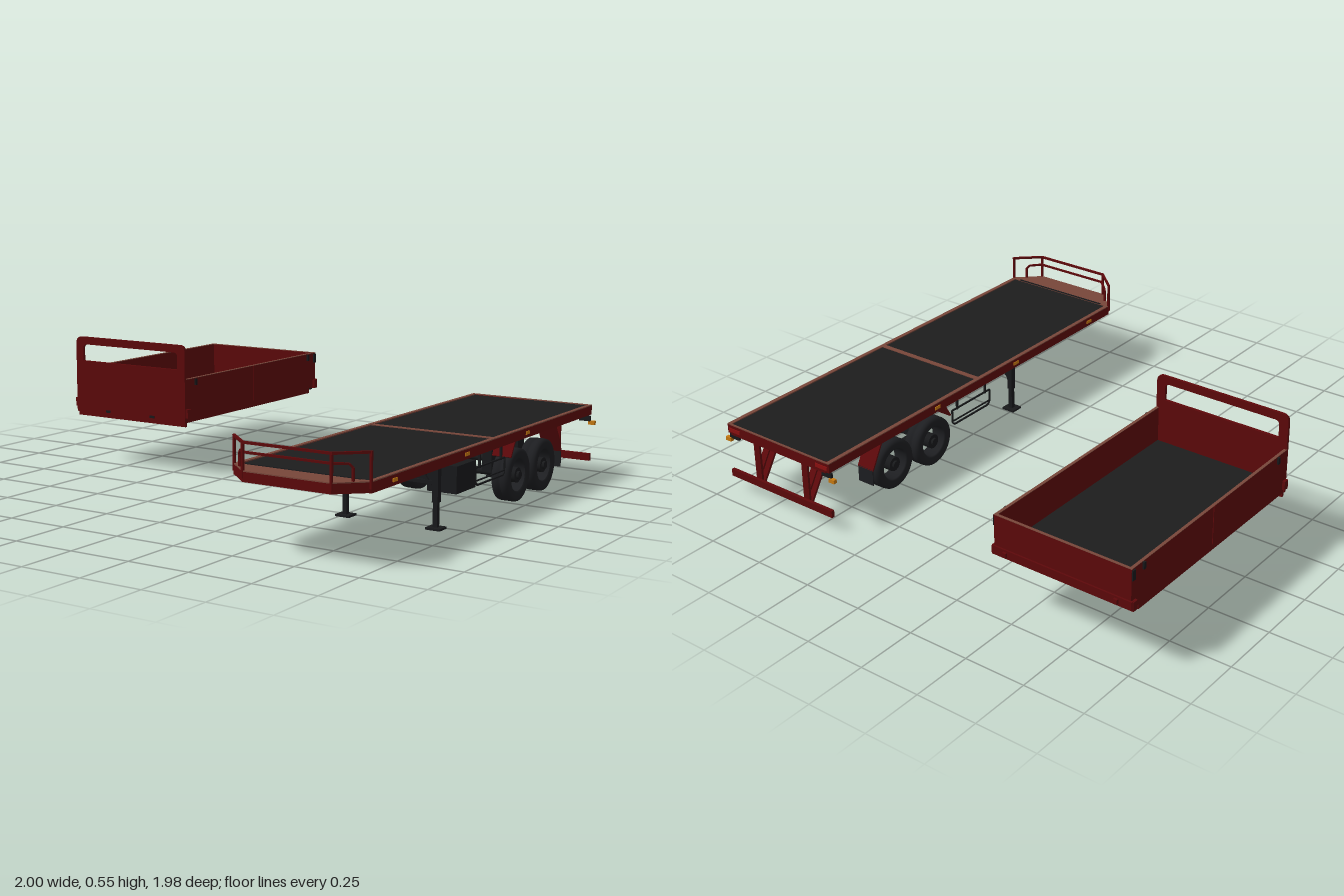
import * as THREE from 'three';

const mat = (name, color) => {
  const m = new THREE.MeshStandardMaterial({ color });
  m.name = name;
  return m;
};

export function createModel() {
  const red = mat('dark red paint', 0x5d080a);
  const brown = mat('brown edging', 0x78463a);
  const floor = mat('deck black', 0x1d1d1d);
  const steel = mat('chassis grey', 0x18191b);
  const rubber = mat('tyre rubber', 0x1d1e21);
  const amber = mat('amber lamp', 0xc87a12);
  const lampRed = mat('red lamp', 0x8c1010);

  const root = new THREE.Group();
  const trailer = new THREE.Group();
  trailer.name = 'flatbedTrailer';
  trailer.position.x = 0.705;
  const body = new THREE.Group();
  body.name = 'dropsideBody';
  body.position.x = -0.698;
  root.add(trailer, body);

  const add = (g, name, geo, m) => {
    const mesh = new THREE.Mesh(geo, m);
    mesh.name = name;
    g.add(mesh);
    return mesh;
  };
  // Box given by its limits on each axis
  const box = (g, name, m, x0, x1, y0, y1, z0, z1) => {
    const mesh = add(g, name, new THREE.BoxGeometry(x1 - x0, y1 - y0, z1 - z0), m);
    mesh.position.set((x0 + x1) / 2, (y0 + y1) / 2, (z0 + z1) / 2);
  };
  // Box on both sides, given by the +x limits
  const pair = (g, name, m, x0, x1, ...r) => {
    box(g, name + 'Left', m, x0, x1, ...r);
    box(g, name + 'Right', m, -x1, -x0, ...r);
  };
  // Straight trailer bar of w by h section between two points (aimed before it joins its group)
  const bar = (name, m, a, b, w, h = w) => {
    const A = new THREE.Vector3(...a), B = new THREE.Vector3(...b);
    const mesh = new THREE.Mesh(new THREE.BoxGeometry(w, h, A.distanceTo(B)), m);
    mesh.name = name;
    mesh.position.copy(A).add(B).multiplyScalar(0.5);
    mesh.lookAt(B);
    trailer.add(mesh);
  };
  // Chain of bars through a list of points
  const chain = (name, m, pts, w) => {
    for (let i = 1; i < pts.length; i++) bar(name, m, pts[i - 1], pts[i], w);
  };
  // Horizontal slab from an x,z outline
  const slab = (g, name, m, pts, y, h) => {
    const s = new THREE.Shape(pts.map(([x, z]) => new THREE.Vector2(x, -z)));
    const geo = new THREE.ExtrudeGeometry(s, { depth: h, bevelEnabled: false });
    geo.rotateX(-Math.PI / 2);
    add(g, name, geo, m).position.y = y;
  };

  // ---- Trailer deck ----
  box(trailer, 'deckFloor', floor, -0.258, 0.258, 0.27, 0.292, -0.918, 0.885);
  pair(trailer, 'sideRail', red, 0.256, 0.274, 0.255, 0.292, -0.925, 0.89);
  pair(trailer, 'sideEdging', brown, 0.257, 0.274, 0.292, 0.296, -0.925, 0.89);
  box(trailer, 'rearRail', red, -0.256, 0.256, 0.25, 0.292, -0.926, -0.908);
  box(trailer, 'rearEdging', brown, -0.257, 0.257, 0.292, 0.296, -0.926, -0.918);
  box(trailer, 'crossStrip', brown, -0.257, 0.257, 0.291, 0.295, -0.042, -0.02);
  const nose = [[-0.274, 0.88], [-0.274, 0.89], [-0.175, 0.982], [0.175, 0.982], [0.274, 0.89], [0.274, 0.88]];
  slab(trailer, 'noseFrame', red, nose, 0.257, 0.035);
  slab(trailer, 'noseTop', brown, nose, 0.292, 0.004);
  box(trailer, 'noseJoint', steel, -0.23, 0.23, 0.295, 0.298, 0.879, 0.886);

  // ---- Front railing ----
  const rail = [[-0.272, 0.89], [-0.175, 0.98], [0.175, 0.98], [0.272, 0.89]];
  for (const [x, z] of rail)
    box(trailer, 'railPost', red, x - 0.004, x + 0.004, 0.27, 0.397, z - 0.005, z + 0.005);
  chain('topRail', red, rail.map(([x, z]) => [x, 0.393, z]), 0.009);
  chain('innerHoop', red, [[-0.225, 0.29, 0.925], [-0.225, 0.342, 0.926], [-0.215, 0.355, 0.934],
    [-0.172, 0.358, 0.973], [0.172, 0.358, 0.973], [0.215, 0.355, 0.934], [0.225, 0.342, 0.926],
    [0.225, 0.29, 0.925]], 0.008);

  // ---- Chassis beams with stepped neck ----
  const prof = new THREE.Shape([[0.88, 0.27], [0.88, 0.243], [0.43, 0.24], [0.38, 0.205], [-0.84, 0.205],
    [-0.87, 0.235], [-0.9, 0.27]].map(([z, y]) => new THREE.Vector2(-z, y)));
  const beamGeo = new THREE.ExtrudeGeometry(prof, { depth: 0.02, bevelEnabled: false });
  beamGeo.rotateY(Math.PI / 2);
  for (const s of [-1, 1]) {
    add(trailer, 'chassisBeam', beamGeo, steel).position.x = s * 0.12 - 0.01;
    const flange = [[0.43, 0.24], [0.38, 0.205], [-0.84, 0.205]];
    for (let i = 1; i < 3; i++) bar('beamFlange', steel,
      [s * 0.12, flange[i - 1][1], flange[i - 1][0]], [s * 0.12, flange[i][1], flange[i][0]], 0.045, 0.006);
  }
  for (let i = 0; i < 13; i++) {
    const z = -0.86 + i * 0.14;
    box(trailer, 'crossMember', steel, -0.256, 0.256, 0.25, 0.271, z - 0.007, z + 0.007);
  }
  box(trailer, 'kingpinPlate', steel, -0.14, 0.14, 0.24, 0.246, 0.5, 0.84);

  // ---- Landing legs, tool box, side guards ----
  for (const s of [-1, 1]) {
    const x = s * 0.19, g = s * 0.24;
    box(trailer, 'landingLeg', steel, x - 0.012, x + 0.012, 0.1, 0.25, 0.268, 0.292);
    box(trailer, 'legInner', steel, x - 0.009, x + 0.009, 0.008, 0.1, 0.271, 0.289);
    box(trailer, 'legFoot', steel, x - 0.03, x + 0.03, 0, 0.008, 0.253, 0.308);
    bar('legBrace', steel, [s * 0.12, 0.22, 0.28], [x, 0.13, 0.28], 0.01);
    chain('sideGuard', steel, [[g, 0.195, 0.07], [g, 0.14, 0.07], [g, 0.128, 0.055], [g, 0.128, -0.16],
      [g, 0.14, -0.172], [g, 0.195, -0.172], [g, 0.195, 0.07]], 0.006);
    bar('guardRail', steel, [g, 0.145, 0.07], [g, 0.145, -0.172], 0.005);
    for (const z of [0.04, -0.14]) bar('guardHanger', steel, [g, 0.19, z], [g, 0.26, z], 0.008);
  }
  box(trailer, 'legShaft', steel, -0.19, 0.19, 0.165, 0.178, 0.274, 0.286);
  box(trailer, 'toolBox', steel, 0.13, 0.25, 0.128, 0.23, 0.088, 0.24);
  box(trailer, 'equipmentBox', steel, -0.12, 0.12, 0.16, 0.215, 0.1, 0.23);

  // ---- Axles and wheels ----
  const tyreGeo = new THREE.LatheGeometry([[0.064, -0.03], [0.07, -0.035], [0.092, -0.037], [0.103, -0.032],
    [0.105, -0.02], [0.105, -0.004], [0.098, 0], [0.105, 0.004], [0.105, 0.02], [0.103, 0.032], [0.092, 0.037],
    [0.07, 0.035], [0.064, 0.03], [0.064, -0.03]].map(([r, y]) => new THREE.Vector2(r, y)), 36);
  const cyl = (name, m, r, len, x, y, z) => {
    const c = add(trailer, name, new THREE.CylinderGeometry(r, r, len, 20), m);
    c.rotation.z = Math.PI / 2;
    c.position.set(x, y, z);
  };
  for (const z of [-0.295, -0.53]) {
    cyl('axle', steel, 0.014, 0.46, 0, 0.105, z);
    for (const s of [-1, 1]) {
      const t = add(trailer, 'tyre', tyreGeo, rubber);
      t.rotation.z = Math.PI / 2;
      t.position.set(s * 0.21, 0.105, z);
      cyl('hub', steel, 0.03, 0.05, s * 0.215, 0.105, z);
      cyl('hubCap', steel, 0.016, 0.07, s * 0.215, 0.105, z);
      box(trailer, 'springHanger', steel, s * 0.12 - 0.02, s * 0.12 + 0.02, 0.11, 0.21, z - 0.028, z + 0.028);
    }
  }
  for (const s of [-1, 1]) {
    bar('equaliserBar', steel, [s * 0.12, 0.09, -0.29], [s * 0.12, 0.09, -0.535], 0.025, 0.014);
    // Mudguards and flap
    bar('frontMudguard', red, [s * 0.215, 0.25, -0.235], [s * 0.215, 0.19, -0.2], 0.08, 0.007);
    bar('rearMudguard', red, [s * 0.215, 0.25, -0.61], [s * 0.215, 0.14, -0.67], 0.08, 0.007);
    box(trailer, 'mudFlap', rubber, s * 0.215 - 0.038, s * 0.215 + 0.038, 0.075, 0.145, -0.672, -0.668);
    // Rear bumper supports
    bar('bumperStrut', red, [s * 0.13, 0.21, -0.81], [s * 0.13, 0.07, -0.9], 0.03, 0.01);
    bar('bumperBrace', red, [s * 0.13, 0.21, -0.855], [s * 0.13, 0.13, -0.905], 0.03, 0.008);
    box(trailer, 'bumperPost', red, s * 0.13 - 0.015, s * 0.13 + 0.015, 0.08, 0.255, -0.915, -0.905);
    // Rear lamps
    box(trailer, 'rearLamp', lampRed, s * 0.235 - 0.03, s * 0.235 + 0.03, 0.264, 0.28, -0.929, -0.925);
    box(trailer, 'lampArm', steel, s * 0.25 - 0.025, s * 0.25 + 0.025, 0.228, 0.25, -0.918, -0.908);
    box(trailer, 'cornerLamp', amber, s * 0.28 - 0.014, s * 0.28 + 0.014, 0.214, 0.23, -0.924, -0.908);
    // Side marker lamps
    for (const z of [0.735, 0.21, -0.3])
      box(trailer, 'sideMarker', amber, s * 0.275 - 0.002, s * 0.275 + 0.002, 0.268, 0.281, z - 0.016, z + 0.016);
  }
  box(trailer, 'rearBumper', red, -0.274, 0.274, 0.06, 0.09, -0.928, -0.914);

  // ---- Dropside body ----
  box(body, 'bodyFloor', floor, -0.28, 0.28, 0.235, 0.262, -0.962, 0.025);
  pair(body, 'sideWall', red, 0.278, 0.289, 0.245, 0.405, -0.965, 0.03);
  pair(body, 'sideSkirt', red, 0.276, 0.286, 0.222, 0.245, -0.925, 0.03);
  pair(body, 'wallRim', brown, 0.2775, 0.2895, 0.404, 0.406, -0.965, 0.03);
  box(body, 'tailgate', red, -0.289, 0.289, 0.245, 0.405, -0.973, -0.963);
  box(body, 'tailgateRim', brown, -0.2895, 0.2895, 0.404, 0.406, -0.9735, -0.9625);
  box(body, 'rearSill', red, -0.296, 0.296, 0.248, 0.282, -0.98, -0.97);
  for (const x of [-0.1, 0.1])
    box(body, 'floorRunner', steel, x - 0.015, x + 0.015, 0.225, 0.236, -0.92, 0.025);

  // Front bulkhead with a long rounded opening
  const rounded = (P, x0, x1, y0, y1, rb, rt) => {
    const p = new P();
    p.moveTo(x0 + rb, y0).lineTo(x1 - rb, y0);
    p.quadraticCurveTo(x1, y0, x1, y0 + rb).lineTo(x1, y1 - rt);
    p.quadraticCurveTo(x1, y1, x1 - rt, y1).lineTo(x0 + rt, y1);
    p.quadraticCurveTo(x0, y1, x0, y1 - rt).lineTo(x0, y0 + rb);
    p.quadraticCurveTo(x0, y0, x0 + rb, y0);
    return p;
  };
  const wall = rounded(THREE.Shape, -0.289, 0.289, 0.222, 0.547, 0.001, 0.03);
  wall.holes.push(rounded(THREE.Path, -0.251, 0.251, 0.444, 0.515, 0.004, 0.02));
  add(body, 'bulkhead', new THREE.ExtrudeGeometry(wall, { depth: 0.012, bevelEnabled: false }), red).position.z = 0.026;
  box(body, 'bulkheadSill', red, -0.286, 0.286, 0.205, 0.232, 0.02, 0.03);

  // Latches, corner brackets and pins
  for (const s of [-1, 1]) {
    for (const z of [-0.905, -0.035])
      box(body, 'wallLatch', steel, s * 0.292 - 0.004, s * 0.292 + 0.004, 0.375, 0.402, z - 0.006, z + 0.006);
    for (const z of [-0.962, 0.022])
      box(body, 'cornerBracket', red, s * 0.292 - 0.008, s * 0.292 + 0.008, 0.243, 0.28, z - 0.012, z + 0.012);
    box(body, 'tailLatch', steel, s * 0.291 - 0.003, s * 0.291 + 0.003, 0.36, 0.4, -0.972, -0.955);
    box(body, 'wallJoint', red, s * 0.29 - 0.002, s * 0.29 + 0.002, 0.25, 0.404, -0.475, -0.465);
    box(body, 'tailPin', red, s * 0.235 - 0.008, s * 0.235 + 0.008, 0.256, 0.275, -0.99, -0.978);
    box(body, 'frontBolt', steel, s * 0.118 - 0.012, s * 0.118 + 0.012, 0.229, 0.239, 0.037, 0.041);
  }
  return root;
}
